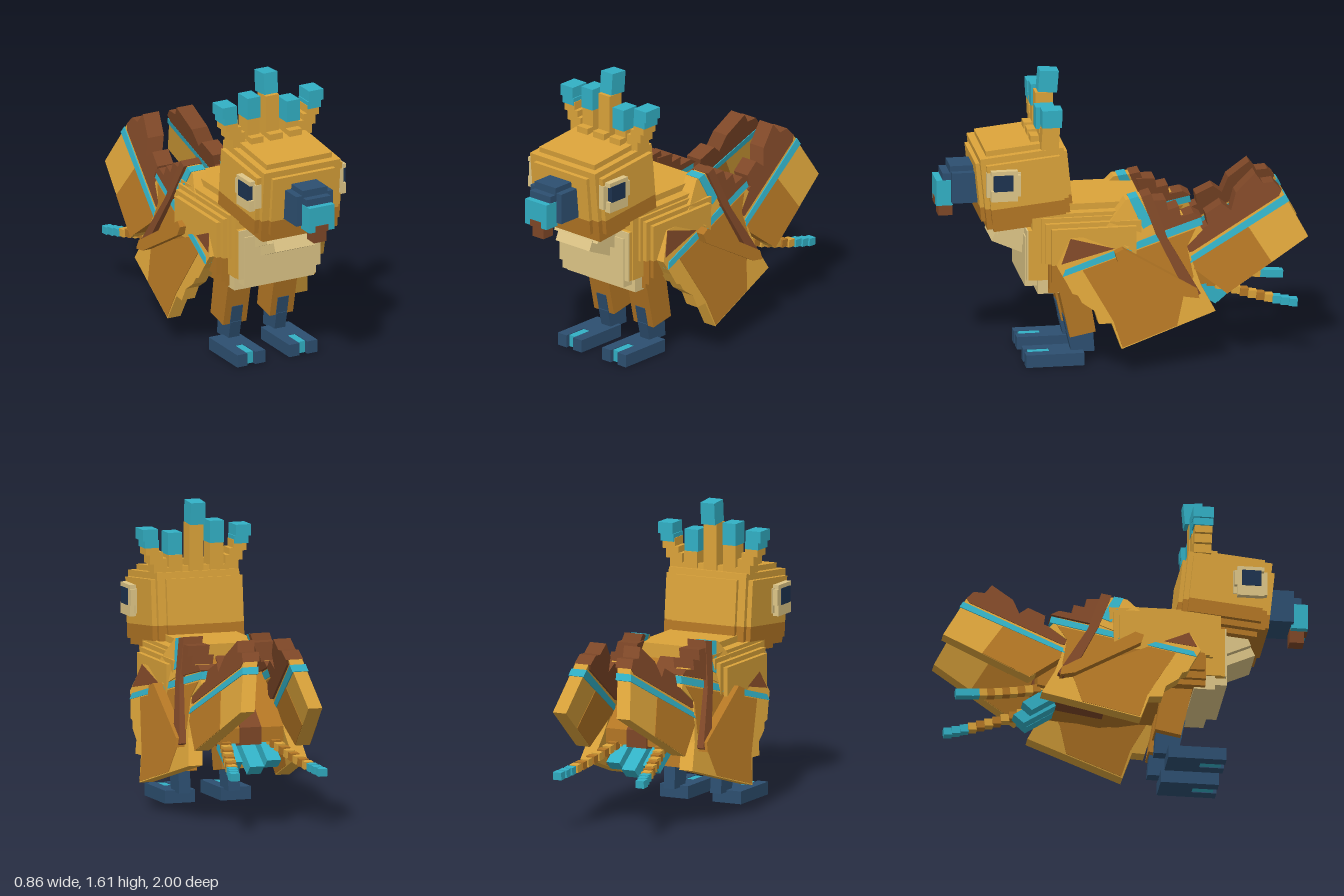
import * as THREE from 'three';

const mat = (name, color) => {
  const m = new THREE.MeshStandardMaterial({ color });
  m.name = name;
  return m;
};

export function createModel() {
  const gold = mat('gold', 0xdba33a), ochre = mat('ochre', 0xb37624), cream = mat('cream', 0xdec687);
  const teal = mat('teal', 0x32b0c5), navy = mat('navy', 0x2d4f70), brown = mat('brown', 0x7e4727);
  const eyeDark = mat('eye dark', 0x1d3350);

  const root = new THREE.Group();
  root.name = 'bird';
  const group = (name, parent = root) => {
    const g = new THREE.Group();
    g.name = name;
    parent.add(g);
    return g;
  };
  const add = (parent, name, geo, m) => {
    const mesh = new THREE.Mesh(geo, m);
    mesh.name = name;
    parent.add(mesh);
    return mesh;
  };
  // Box centred on x, given by half width and y / z ranges
  const box = (parent, name, m, hx, y0, y1, z0, z1, x = 0) => {
    const mesh = add(parent, name, new THREE.BoxGeometry(hx * 2, y1 - y0, z1 - z0), m);
    mesh.position.set(x, (y0 + y1) / 2, (z0 + z1) / 2);
    return mesh;
  };
  // Side outline given as [z, y], extruded along x and leaned by x = s * (a + b*y + c*z)
  const slab = (parent, name, m, pts, width, a = 0, b = 0, c = 0, s = 1) => {
    const shape = new THREE.Shape(pts.map(([z, y]) => new THREE.Vector2(-z, y)));
    const geo = new THREE.ExtrudeGeometry(shape, { depth: width, bevelEnabled: false });
    geo.translate(0, 0, -width / 2).rotateY(Math.PI / 2);
    geo.applyMatrix4(new THREE.Matrix4().set(
      1, s * b, s * c, s * a, 0, 1, 0, 0, 0, 0, 1, 0, 0, 0, 0, 1));
    geo.computeVertexNormals();
    return add(parent, name, geo, m);
  };

  const bird = group('bodyAndHead');
  bird.position.x = -0.01;

  // Stepped body: gold above, ochre below
  const body = group('body', bird);
  [[0.32, 0.5, 0.8, -0.05, 0.41], [0.295, 0.46, 0.825, -0.08, 0.44], [0.27, 0.43, 0.85, -0.1, 0.46]]
    .forEach(([hx, y0, y1, z0, z1]) => {
      box(body, 'bodyUpper', gold, hx, 0.6, y1, z0, z1);
      box(body, 'bodyLower', ochre, hx, y0, 0.6, z0, Math.min(z1, 0.42));
    });
  box(body, 'breast', gold, 0.255, 0.5, 0.87, -0.1, 0.505);
  box(body, 'breastStep', gold, 0.25, 0.5, 0.78, 0.5, 0.527);
  box(body, 'back', gold, 0.2, 0.6, 0.905, -0.1, 0.35);
  box(body, 'bib', cream, 0.25, 0.5, 0.78, 0.526, 0.535);
  box(body, 'bibStep', cream, 0.22, 0.46, 0.74, 0.47, 0.542);
  box(body, 'belly', cream, 0.245, 0.42, 0.52, 0.36, 0.475);
  box(body, 'throat', cream, 0.157, 0.685, 0.785, 0.44, 0.67).rotation.x = -0.42;
  box(body, 'throatLip', cream, 0.122, 0.64, 0.7, 0.46, 0.705).rotation.x = -0.42;

  // Sloping rump with centre stripe
  slab(body, 'rump', ochre, [[-0.05, 0.87], [-0.48, 0.5], [-0.48, 0.42], [-0.1, 0.36], [0.3, 0.42], [0.2, 0.6]], 0.38);
  slab(body, 'rumpSide', ochre, [[-0.05, 0.78], [-0.38, 0.48], [-0.36, 0.42], [0, 0.4], [0.3, 0.46]], 0.52);
  slab(body, 'rumpStripe', brown, [[-0.1, 0.84], [-0.49, 0.505], [-0.49, 0.41], [-0.1, 0.35]], 0.12);

  // Tail: three short feathers and two long stepped streamers
  const tail = group('tail', bird);
  slab(tail, 'tailFeather', teal, [[-0.4, 0.435], [-0.59, 0.305], [-0.535, 0.257], [-0.36, 0.37]], 0.08);
  for (const s of [-1, 1]) {
    slab(tail, 'tailFeather', teal, [[-0.4, 0.44], [-0.555, 0.33], [-0.505, 0.285], [-0.36, 0.38]], 0.08, 0.11, 0, 0, s);
    for (let i = 0; i < 12; i++) {
      const t = i / 11;
      const m = i > 8 ? teal : i % 2 ? ochre : gold;
      const bead = add(tail, 'tailStreamer', new THREE.BoxGeometry(0.05, 0.042, 0.046), m);
      bead.position.set(s * (0.13 + 0.12 * t), 0.425 - 0.165 * t + 0.05 * t * t, -0.44 - 0.47 * t);
      bead.rotation.x = -0.08;
    }
  }

  // Head, tipped slightly forward
  const head = group('head', bird);
  head.position.set(0, 1.015, 0.54);
  head.rotation.x = 0.1;
  [[0.262, 0.165, 0.2], [0.235, 0.2, 0.228], [0.19, 0.165, 0.25], [0.2, 0.23, 0.19]].forEach(([hx, hy, hz]) => {
    box(head, 'headUpper', gold, hx, -0.085, hy, -hz, hz);
    box(head, 'headLower', ochre, hx, -hy, -0.085, -hz, hz);
  });

  // Eyes: flat plate with raised rims, open to the front
  for (const s of [-1, 1]) {
    box(bird, 'eyePlate', cream, 0.02, 0.985, 1.12, 0.57, 0.755, s * 0.25);
    box(bird, 'eyeRimTop', cream, 0.025, 1.113, 1.137, 0.59, 0.735, s * 0.271);
    box(bird, 'eyeRimBottom', cream, 0.025, 0.967, 1.027, 0.59, 0.735, s * 0.271);
    box(bird, 'eyeRimBack', cream, 0.025, 1.027, 1.113, 0.575, 0.617, s * 0.271);
    box(bird, 'eye', eyeDark, 0.025, 1.025, 1.115, 0.615, 0.72, s * 0.275);
  }

  // Beak
  const beak = group('beak', bird);
  box(beak, 'beakBase', navy, 0.1125, 0.91, 1.08, 0.76, 0.92);
  box(beak, 'beakTop', navy, 0.076, 0.95, 1.11, 0.76, 0.925);
  box(beak, 'beakBridge', navy, 0.074, 0.92, 1.07, 0.9, 0.965);
  box(beak, 'beakTip', teal, 0.077, 0.89, 1.032, 0.91, 1.0);
  box(beak, 'beakHook', brown, 0.039, 0.822, 0.9, 0.905, 0.983);
  box(beak, 'beakHookFront', brown, 0.039, 0.888, 0.925, 0.96, 1.003);

  // Crest feathers: x, stem top, tip top, z of tip
  const crest = group('crest', bird);
  [[0, 1.49, 1.61, 0.385, 0.04], [-0.117, 1.38, 1.5, 0.41, 0.038], [0.118, 1.325, 1.445, 0.42, 0.038]]
    .forEach(([x, ys, yt, z, hx]) => {
      box(crest, 'crestStem', gold, hx, 1.2, ys, 0.36, 0.455, x);
      box(crest, 'crestFoot', gold, hx, 1.2, 1.285, 0.4, 0.5, x);
      const tip = box(crest, 'crestTip', teal, hx + 0.002, ys, yt, z - 0.052, z + 0.052, x);
      tip.rotation.x = x ? 0 : -0.08;
    });
  for (const s of [-1, 1]) {
    for (const [x, y0, y1] of [[0.175, 1.19, 1.26], [0.205, 1.23, 1.31], [0.228, 1.28, 1.345], [0.25, 1.33, 1.39]])
      box(crest, 'crestStem', gold, 0.037, y0, y1, 0.36, 0.455, s * x);
    box(crest, 'crestTip', teal, 0.044, 1.41, 1.472, 0.35, 0.46, s * 0.266);
    box(crest, 'crestTipBase', teal, 0.04, 1.37, 1.412, 0.352, 0.458, s * 0.256);
  }

  // Legs and feet
  for (const s of [-1, 1]) {
    const leg = group(s > 0 ? 'leftLeg' : 'rightLeg', bird);
    const footX = s * 0.16 - 0.015;
    slab(leg, 'thigh', ochre, [[0.295, 0.155], [0.155, 0.182], [0.2, 0.45], [0.36, 0.45]], 0.143, 0.143, 0, 0, s);
    slab(leg, 'shin', navy, [[0.305, 0.165], [0.28, 0.06], [0.155, 0.06], [0.165, 0.2], [0.28, 0.2]], 0.066, 0.141, 0, 0, s);
    slab(leg, 'shinFront', navy, [[0.3, 0.15], [0.324, 0.262], [0.3, 0.262], [0.28, 0.15]], 0.066, 0.141, 0, 0, s);
    box(leg, 'foot', navy, 0.086, 0, 0.07, 0.22, 0.4, footX);
    for (const k of [-1, 1]) box(leg, 'toe', navy, 0.031, 0, 0.07, 0.39, 0.535, footX + k * 0.055);
    box(leg, 'claw', teal, 0.021, 0.003, 0.068, 0.39, 0.515, footX);
  }

  // Folded wings: front panel, rear panel and crossing covert, leaning outward at the bottom
  const T = 0.08;
  for (const s of [-1, 1]) {
    const wing = group(s > 0 ? 'leftWing' : 'rightWing');
    const front = (name, m, pts, w = T, out = 0) => slab(wing, name, m, pts, w, 0.419 + out, -0.23, 0.1, s);
    const covert = (name, m, pts, w = T, out = 0) => slab(wing, name, m, pts, w, 0.453 + out, -0.265, 0.1, s);
    const rear = (name, m, pts, w = T, out = 0) => slab(wing, name, m, pts, w, 0.423 + out, -0.283, 0.04, s);

    front('frontPanel', gold, [[0.385, 0.6], [0.31, 0.75], [0.06, 0.76], [-0.14, 0.86], [-0.36, 0.82], [-0.42, 0.74],
      [-0.33, 0.66], [-0.4, 0.45], [-0.475, 0.31], [0.05, 0.15], [0.1, 0.29], [0.17, 0.29], [0.19, 0.36],
      [0.26, 0.41], [0.28, 0.45], [0.31, 0.46], [0.34, 0.52]]);
    front('frontPanelPatch', ochre, [[0.25, 0.58], [-0.38, 0.75], [-0.33, 0.66], [-0.36, 0.5], [-0.3, 0.4], [-0.26, 0.25],
      [0.045, 0.158], [0.09, 0.3]], T + 0.006);
    front('frontStripe', teal, [[0.36, 0.555], [-0.42, 0.77], [-0.41, 0.81], [0.345, 0.59]], T + 0.012);
    front('shoulder', brown, [[0.365, 0.62], [0.31, 0.75], [0.07, 0.68]], T + 0.006);
    front('frontRidge', brown, [[-0.12, 0.92], [-0.22, 0.92], [-0.23, 0.865], [-0.29, 0.88], [-0.3, 0.825], [-0.37, 0.84],
      [-0.415, 0.815], [-0.17, 0.75]], 0.12);

    covert('covert', gold, [[0.12, 0.79], [0, 0.93], [-0.14, 0.95], [-0.2, 0.78], [0, 0.68]]);
    covert('covertStripe', teal, [[-0.02, 0.935], [-0.07, 0.945], [-0.145, 0.8], [-0.09, 0.775]], T + 0.012);
    covert('covertRidge', brown, [[-0.085, 0.945], [-0.14, 0.958], [-0.22, 0.72], [-0.39, 0.42], [-0.36, 0.4], [-0.29, 0.47],
      [-0.16, 0.74]], 0.11, 0.005);
    front('covertEdge', ochre, [[0.075, 0.67], [0.03, 0.69], [-0.37, 0.45], [-0.38, 0.4], [-0.3, 0.415], [0.06, 0.62]], T, 0.055);

    rear('rearPanel', gold, [[-0.29, 0.61], [-0.34, 0.68], [-0.86, 0.92], [-0.995, 0.67], [-0.54, 0.4]]);
    rear('rearPanelPatch', ochre, [[-0.32, 0.575], [-0.66, 0.755], [-0.79, 0.55], [-0.54, 0.402]], T + 0.006);
    rear('rearStripe', teal, [[-0.335, 0.565], [-0.9, 0.86], [-0.88, 0.895], [-0.35, 0.605]], T + 0.012);
    // Blocky ridge along the rear panel
    rear('rearRidge', brown, [[-0.29, 0.62], [-0.36, 0.72], [-0.45, 0.76], [-0.44, 0.82], [-0.53, 0.87], [-0.58, 0.83],
      [-0.61, 0.92], [-0.72, 1.015], [-0.76, 0.96], [-0.82, 0.965], [-0.86, 0.92], [-0.845, 0.89], [-0.36, 0.63]], 0.098, -0.004);
  }
  return root;
}
